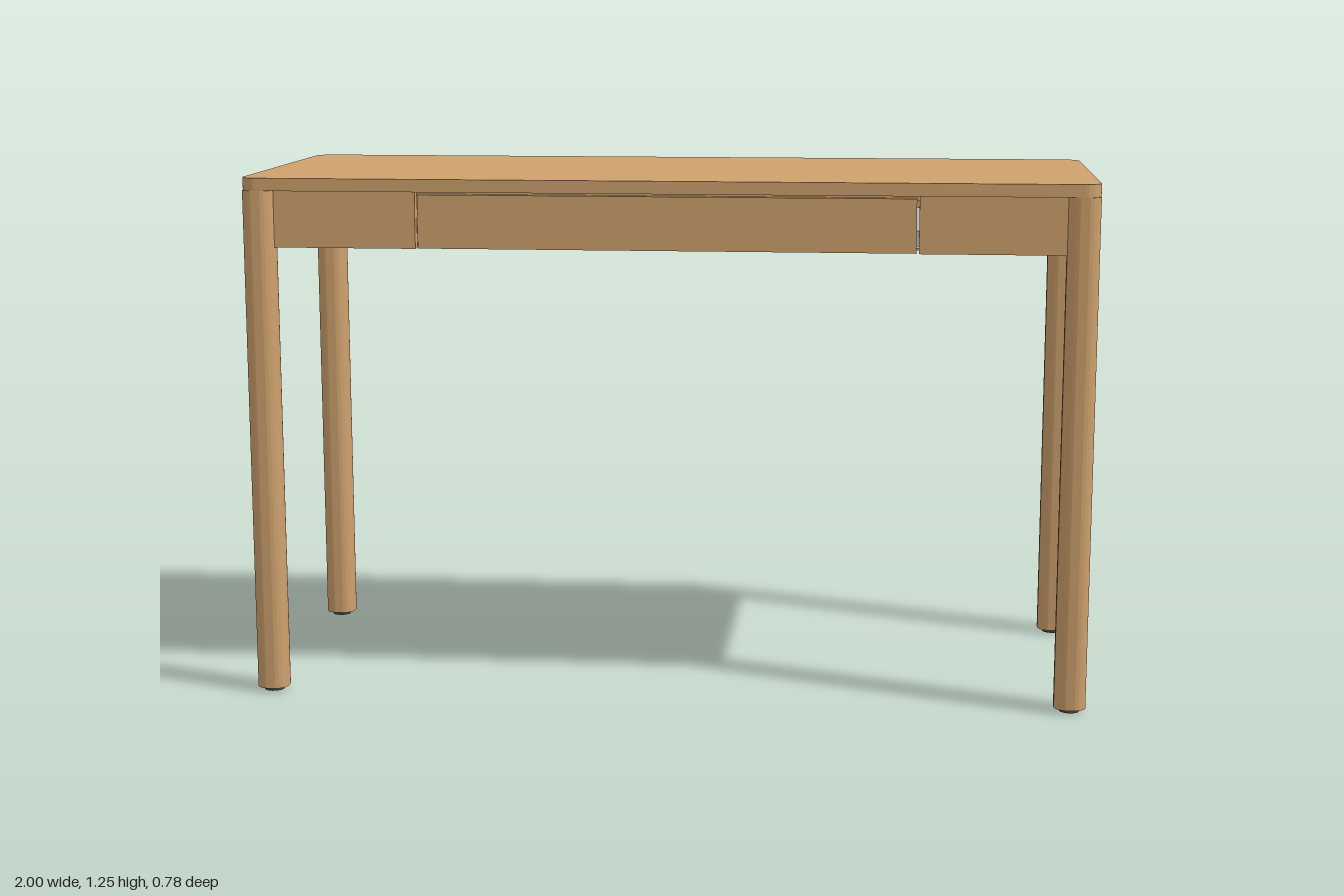
import * as THREE from 'three';
import { toCreasedNormals } from 'three/addons/utils/BufferGeometryUtils.js';

const material = (name, color) => {
  const m = new THREE.MeshStandardMaterial({ color });
  m.name = name;
  return m;
};

// Vertical prism with a rounded rectangular plan, standing on y = 0
function roundedPrism(w, d, h, r) {
  const x = w / 2, z = d / 2, s = new THREE.Shape();
  s.moveTo(x, -z + r);
  s.lineTo(x, z - r);
  s.absarc(x - r, z - r, r, 0, Math.PI / 2);
  s.absarc(-x + r, z - r, r, Math.PI / 2, Math.PI);
  s.absarc(-x + r, -z + r, r, Math.PI, Math.PI * 1.5);
  s.absarc(x - r, -z + r, r, Math.PI * 1.5, Math.PI * 2);
  const g = new THREE.ExtrudeGeometry(s, { depth: h, bevelEnabled: false, curveSegments: 8 });
  g.rotateX(-Math.PI / 2);
  return toCreasedNormals(g, 0.6);
}

export function createModel() {
  const wood = material('wood', 0xcfa26e);
  const liner = material('drawer grey', 0xc8c5b8);
  const metal = material('metal', 0xb4babd);
  const dark = material('dark', 0x45433f);

  const model = new THREE.Group();
  model.name = 'desk';

  const add = (name, geometry, mat, x, y, z, parent = model) => {
    const mesh = new THREE.Mesh(geometry, mat);
    mesh.name = name;
    mesh.position.set(x, y, z);
    parent.add(mesh);
    return mesh;
  };
  // Box given by its limits on each axis
  const box = (name, mat, x0, x1, y0, y1, z0, z1, parent = model) =>
    add(name, new THREE.BoxGeometry(Math.abs(x1 - x0), y1 - y0, Math.abs(z1 - z0)), mat,
      (x0 + x1) / 2, (y0 + y1) / 2, (z0 + z1) / 2, parent);

  // Table top
  add('tableTop', roundedPrism(2, 0.78, 0.03, 0.04), wood, 0, 1.22, 0);

  // Legs with feet, and the corner brackets behind them
  const legGeometry = roundedPrism(0.075, 0.075, 1.21, 0.031);
  const footGeometry = new THREE.CylinderGeometry(0.024, 0.024, 0.012, 20);
  const boltGeometry = new THREE.CylinderGeometry(0.008, 0.008, 0.012, 6).rotateX(Math.PI / 2);
  const bracketPath = [[0.79, 0.335], [0.86, 0.335], [0.94, 0.255], [0.94, 0.185]];
  for (const sx of [1, -1]) for (const sz of [1, -1]) {
    add('leg', legGeometry, wood, sx * 0.9625, 0.01, sz * 0.3525);
    add('foot', footGeometry, dark, sx * 0.9625, 0.006, sz * 0.3525);

    const bracket = new THREE.Group();
    bracket.name = 'cornerBracket';
    model.add(bracket);
    for (let i = 0; i < 3; i++) {
      const [ax, az] = bracketPath[i], [bx, bz] = bracketPath[i + 1];
      const length = Math.hypot(bx - ax, bz - az);
      const plate = new THREE.Group();
      plate.name = 'bracketPlate';
      plate.position.set(sx * (ax + bx) / 2, 1.15, sz * (az + bz) / 2);
      plate.rotation.y = Math.atan2(-sz * (bz - az), sx * (bx - ax));
      bracket.add(plate);
      box('plate', metal, -length / 2, length / 2, -0.042, 0.042, -0.003, 0.003, plate);
      for (const y of [-0.042, 0, 0.042])
        box('rib', metal, -length / 2, length / 2, y - 0.003, y + 0.003, -0.008, 0.008, plate);
      for (const y of [-0.021, 0.021]) add('bolt', boltGeometry, dark, 0, y, 0, plate);
    }
  }

  // Aprons, dividers and drawer runners
  box('backApron', wood, -0.94, 0.94, 1.085, 1.22, -0.365, -0.34);
  for (const s of [1, -1]) {
    box('sideApron', wood, s * 0.945, s * 0.97, 1.085, 1.22, -0.33, 0.33);
    box('frontApron', wood, s * 0.588, s * 0.94, 1.085, 1.22, 0.34, 0.365);
    box('divider', wood, s * 0.592, s * 0.62, 1.086, 1.22, -0.34, 0.34);
    box('outerRunner', metal, s * 0.575, s * 0.592, 1.1, 1.135, -0.26, 0.335);
    box('innerRunner', metal, s * 0.555, s * 0.572, 1.094, 1.118, -0.23, 0.335);
    box('runnerFlange', metal, s * 0.535, s * 0.592, 1.09, 1.094, -0.2, 0.33);
    box('runnerCatch', dark, s * 0.535, s * 0.56, 1.086, 1.09, 0.27, 0.32);
    box('drawerSide', liner, s * 0.54, s * 0.553, 1.1, 1.2, -0.205, 0.34);
  }

  // Drawer
  box('drawerFront', wood, -0.582, 0.582, 1.086, 1.212, 0.34, 0.365);
  box('drawerBack', liner, -0.553, 0.553, 1.1, 1.2, -0.215, -0.203);
  box('drawerBottom', liner, -0.545, 0.545, 1.102, 1.11, -0.205, 0.34);
  box('frontRail', wood, -0.592, 0.592, 1.205, 1.22, 0.32, 0.339);

  return model;
}
